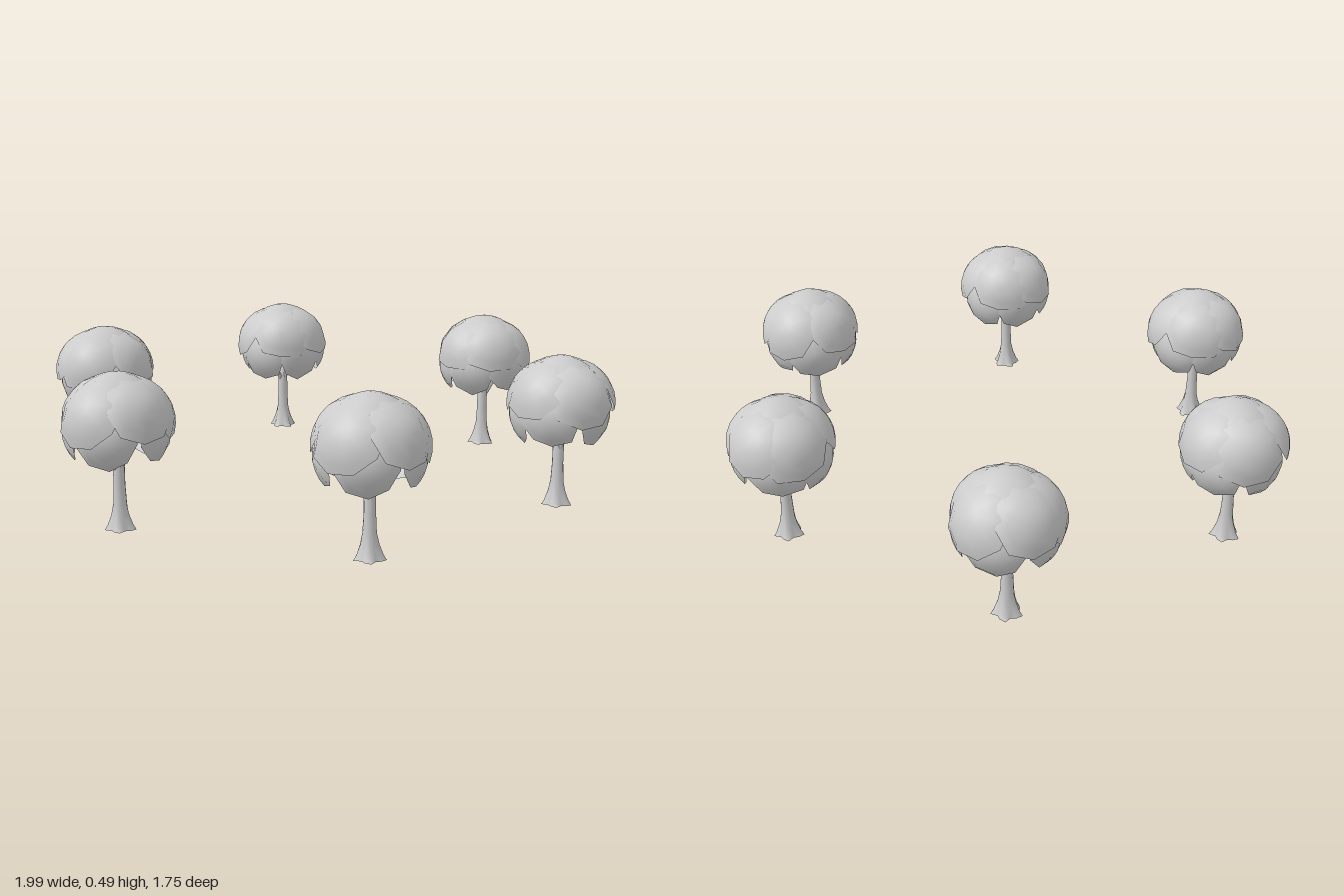
import * as THREE from 'three';
import { mergeVertices } from 'three/addons/utils/BufferGeometryUtils.js';

const bark = new THREE.MeshStandardMaterial({ color: 0xcccccc, side: THREE.DoubleSide });
const leaf = new THREE.MeshStandardMaterial({ color: 0xcccccc, side: THREE.DoubleSide });

function seeded(seed) {
  let s = seed;
  return () => (s = (s * 16807) % 2147483647) / 2147483647;
}

const smooth = (geo) => {
  geo.deleteAttribute('uv');
  geo.deleteAttribute('normal');
  const merged = mergeVertices(geo, 1e-5);
  merged.computeVertexNormals();
  return merged;
};

// Curved leaf scale: a spherical cap with an uneven outline, pointing along +y
function leafShell(radius, angle, rand) {
  const sides = 9, rings = 4;
  const geo = new THREE.SphereGeometry(radius, sides, rings, 0, Math.PI * 2, 0, angle);
  const wobble = Array.from({ length: sides }, () => 0.88 + 0.24 * rand());
  const p = geo.attributes.position;
  for (let i = 0; i < p.count; i++) {
    const col = i % (sides + 1), row = Math.floor(i / (sides + 1));
    const t = (row / rings) * angle * wobble[col % sides];
    const phi = (col % sides) / sides * Math.PI * 2;
    p.setXYZ(i, radius * Math.sin(t) * Math.cos(phi), radius * Math.cos(t), -radius * Math.sin(t) * Math.sin(phi));
  }
  return smooth(geo);
}

// Trunk with a lobed, flared root foot
function trunkGeometry() {
  const profile = [[0.043, 0], [0.036, 0.015], [0.027, 0.045], [0.021, 0.08], [0.018, 0.14], [0.018, 0.2], [0.014, 0.23], [0, 0.24]];
  const geo = new THREE.LatheGeometry(profile.map(([x, y]) => new THREE.Vector2(x, y)), 15);
  const p = geo.attributes.position;
  for (let i = 0; i < p.count; i++) {
    const y = p.getY(i), a = Math.atan2(p.getZ(i), p.getX(i));
    const k = 1 + 0.22 * Math.max(0, 1 - y / 0.08) * Math.cos(5 * a);
    p.setX(i, p.getX(i) * k);
    p.setZ(i, p.getZ(i) * k);
  }
  return smooth(geo);
}

function branchGeometry(a, reach, top) {
  const c = Math.cos(a), s = Math.sin(a);
  const path = new THREE.CatmullRomCurve3([
    new THREE.Vector3(0, 0.17, 0),
    new THREE.Vector3(c * reach * 0.3, 0.225, s * reach * 0.3),
    new THREE.Vector3(c * reach, top, s * reach),
  ]);
  return new THREE.TubeGeometry(path, 5, 0.008, 6);
}

// Rings of scales: polar angle, count, cap radius, cap angle, offset from crown centre
const layers = [
  { polar: 0, count: 1, r: 0.155, angle: 0.85, out: 0.024 },
  { polar: 0.92, count: 5, r: 0.150, angle: 0.86, out: 0.030 },
  { polar: 1.62, count: 5, r: 0.135, angle: 0.78, out: 0.030 },
];

function buildTreeParts() {
  const rand = seeded(4271);
  const parts = [{ name: 'trunk', geo: trunkGeometry(), mat: bark }];
  for (let i = 0; i < 4; i++) {
    parts.push({ name: 'branch', geo: branchGeometry(i * 1.57 + 0.4, 0.075 + 0.02 * (i % 2), 0.32 + 0.03 * (i % 2)), mat: bark });
  }
  const up = new THREE.Vector3(0, 1, 0);
  layers.forEach(({ polar, count, r, angle, out }, ring) => {
    for (let i = 0; i < count; i++) {
      const az = (i + ring * 0.5 + (rand() - 0.5) * 0.25) / count * Math.PI * 2;
      const pol = polar + (ring ? (rand() - 0.5) * 0.22 : 0);
      const dir = new THREE.Vector3(Math.sin(pol) * Math.cos(az), Math.cos(pol), Math.sin(pol) * Math.sin(az));
      const geo = leafShell(r, angle, rand);
      geo.rotateY(rand() * 6.28);
      geo.applyQuaternion(new THREE.Quaternion().setFromUnitVectors(up, dir));
      const shift = out + (rand() - 0.5) * 0.008;
      geo.translate(dir.x * shift, 0.315 + dir.y * shift, dir.z * shift);
      parts.push({ name: ring ? 'leafShell' : 'crownCap', geo, mat: leaf });
    }
  });
  return parts;
}

export function createModel() {
  const model = new THREE.Group();
  model.name = 'treeCircle';
  const parts = buildTreeParts();
  // x, z, turn of each tree
  const spots = [
    [-0.4, 0.7, 0], [0.405, 0.7, 0], [0.82, -0.01, 1.05],
    [0.41, -0.7, 2.1], [-0.41, -0.7, 3.14], [-0.82, 0.005, 4.2],
  ];
  for (const [x, z, turn] of spots) {
    const tree = new THREE.Group();
    tree.name = 'tree';
    for (const { name, geo, mat } of parts) {
      const mesh = new THREE.Mesh(geo, mat);
      mesh.name = name;
      tree.add(mesh);
    }
    tree.position.set(x, 0, z);
    tree.rotation.y = turn;
    model.add(tree);
  }
  return model;
}
